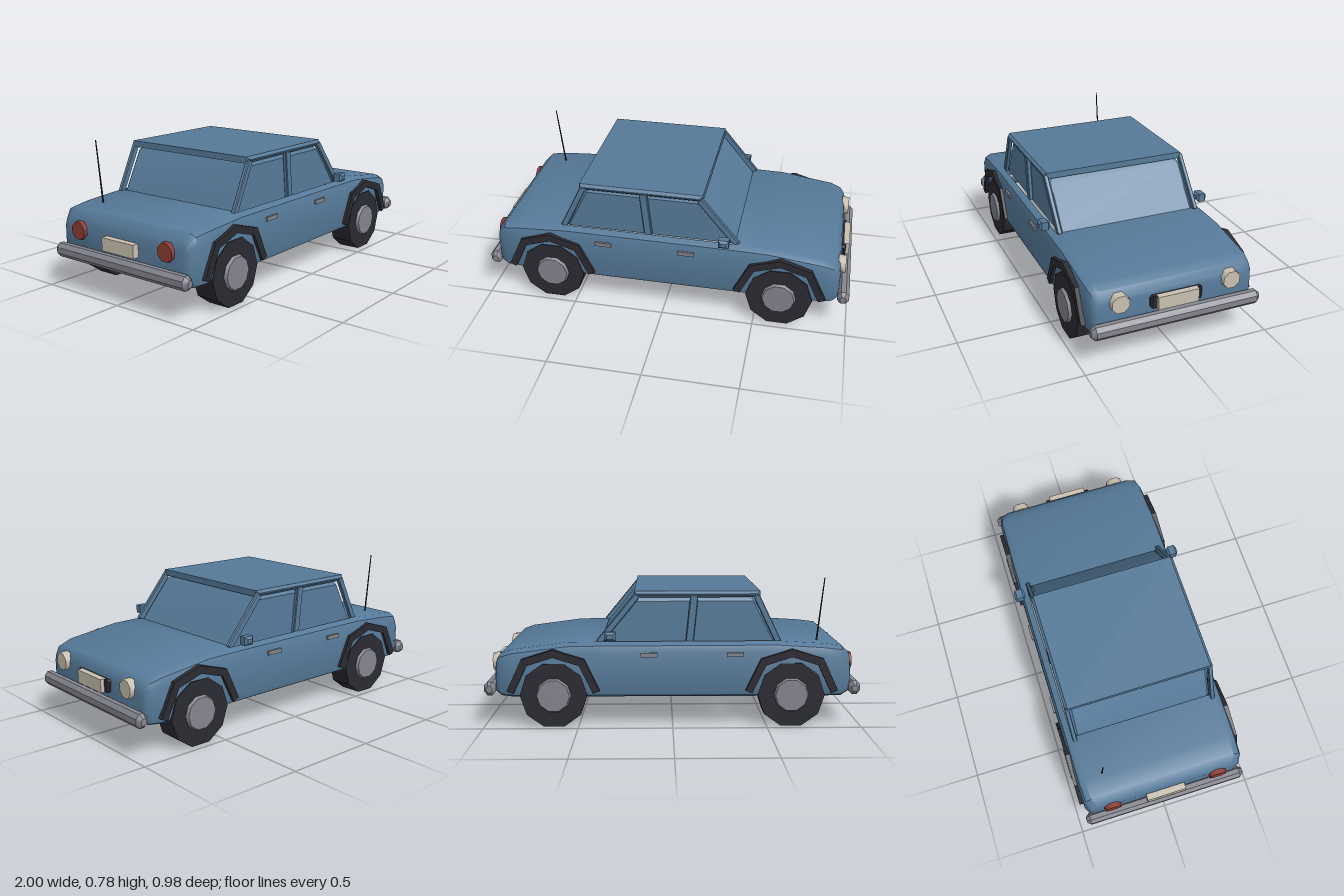
import * as THREE from 'three';
import { toCreasedNormals } from 'three/addons/utils/BufferGeometryUtils.js';

const mat = (name, color, side = THREE.FrontSide) => {
  const m = new THREE.MeshStandardMaterial({ color, side });
  m.name = name;
  return m;
};

// Skin a list of rings; skip(i, j) leaves a quad open, caps closes both ends.
function loft(rings, { closed = false, caps = false, skip = () => false, crease = 0.7 } = {}) {
  const n = rings[0].length, idx = [];
  for (let i = 0; i < rings.length - 1; i++)
    for (let j = 0; j < (closed ? n : n - 1); j++) {
      if (skip(i, j)) continue;
      const k = (j + 1) % n, a = i * n + j, b = i * n + k, c = b + n, d = a + n;
      idx.push(a, b, c, a, c, d);
    }
  if (caps) {
    const e = (rings.length - 1) * n;
    for (let k = 1; k < n - 1; k++) idx.push(0, k + 1, k, e, e + k, e + k + 1);
  }
  const g = new THREE.BufferGeometry();
  g.setAttribute('position', new THREE.Float32BufferAttribute(rings.flat(2), 3));
  g.setIndex(idx);
  return toCreasedNormals(g, crease);
}

// Box with chamfered edges, centred on the origin.
function chamferBox(w, h, d, b) {
  const x = w / 2 - b, y = h / 2 - b;
  const s = new THREE.Shape([[-x, -y], [x, -y], [x, y], [-x, y]].map(p => new THREE.Vector2(...p)));
  const g = new THREE.ExtrudeGeometry(s, {
    depth: d - 2 * b, bevelEnabled: true, bevelSize: b, bevelThickness: b, bevelSegments: 1
  });
  return g.translate(0, 0, -(d - 2 * b) / 2);
}

export function createModel() {
  const car = new THREE.Group();
  car.name = 'car';
  const paint = mat('blue paint', 0x567a99, THREE.DoubleSide);
  const rubber = mat('black rubber', 0x2a2a32);
  const metal = mat('grey metal', 0x84858e);
  const cream = mat('cream lamp', 0xc9c0b0);
  const red = mat('red lamp', 0x8c3c35);

  const add = (name, geo, m, x = 0, y = 0, z = 0) => {
    const mesh = new THREE.Mesh(geo, m);
    mesh.name = name;
    mesh.position.set(x, y, z);
    car.add(mesh);
    return mesh;
  };

  // Body shell, open below and under the cabin: x, half width, bottom, top
  const stations = [
    [0.942, 0.405, 0.2, 0.33], [0.935, 0.425, 0.175, 0.355], [0.91, 0.44, 0.16, 0.388],
    [0.85, 0.45, 0.155, 0.408], [0.56, 0.455, 0.155, 0.446], [0.38, 0.455, 0.155, 0.449],
    [-0.55, 0.455, 0.155, 0.452], [-0.8, 0.455, 0.155, 0.437], [-0.9, 0.45, 0.157, 0.425],
    [-0.94, 0.43, 0.175, 0.385], [-0.95, 0.41, 0.2, 0.345]
  ];
  const section = ([x, w, b, t]) => {
    const half = [[w - 0.03, b], [w - 0.007, b + 0.012], [w, b + 0.035], [w, t - 0.055],
      [w - 0.012, t - 0.018], [w - 0.045, t]];
    return [...half.map(([z, y]) => [x, y, z]), ...half.reverse().map(([z, y]) => [x, y, -z])];
  };
  add('body', loft(stations.map(section), { caps: true, skip: (i, j) => i === 5 && j === 5 }), paint);

  // Cabin window shell: y, rear x, front x, half width, corner cut
  const windowRing = ([y, r, f, w, c]) => [
    [r + c, w], [f - c, w], [f, w - c], [f, c - w], [f - c, -w], [r + c, -w], [r, c - w], [r, w - c]
  ].map(([x, z]) => [x, y, z]);
  add('windows', loft([
    [0.44, -0.55, 0.385, 0.388, 0.012], [0.66, -0.44, 0.208, 0.385, 0.012], [0.69, -0.415, 0.175, 0.362, 0.012]
  ].map(windowRing), { closed: true, crease: 0.5 }), paint);

  // Roof panel
  add('roof', chamferBox(0.665, 0.034, 0.818, 0.014), paint, -0.13, 0.699, 0);

  // Window pillars, slanted in the side plane
  const pillars = [
    ['frontPillar', 0.185, 0.695, 0.39, 0.445, 0.034],
    ['middlePillar', -0.115, 0.695, -0.09, 0.445, 0.042],
    ['rearPillar', -0.44, 0.695, -0.562, 0.445, 0.034]
  ];
  const wheelShape = new THREE.Shape(); // arch trim outline
  [[-0.245, 0.195], [-0.165, 0.365], [0, 0.416], [0.165, 0.365], [0.245, 0.195],
    [0.21, 0.18], [0.138, 0.33], [0, 0.374], [-0.138, 0.33], [-0.21, 0.18]]
    .forEach(([x, y], i) => (i ? wheelShape.lineTo(x, y) : wheelShape.moveTo(x, y)));
  const archGeo = new THREE.ExtrudeGeometry(wheelShape, { depth: 0.032, bevelEnabled: false })
    .translate(0, 0, -0.016);
  const tyreGeo = toCreasedNormals(
    new THREE.CylinderGeometry(0.178, 0.178, 0.125, 10).rotateY(Math.PI / 10).rotateX(Math.PI / 2), 0.4);
  const hubGeo = new THREE.CylinderGeometry(0.086, 0.1, 0.03, 10).rotateY(Math.PI / 10).rotateX(Math.PI / 2);

  for (const s of [1, -1]) {
    for (const [name, x0, y0, x1, y1, t] of pillars) {
      const len = Math.hypot(x1 - x0, y1 - y0);
      const p = add(name, chamferBox(t, len, 0.024, 0.004), paint, (x0 + x1) / 2, (y0 + y1) / 2, s * 0.398);
      p.rotation.z = Math.atan2(x0 - x1, y0 - y1) * -1;
    }
    // Wheels and arch trims
    for (const x of [-0.63, 0.63]) {
      add('tyre', tyreGeo, rubber, x, 0.169, s * 0.3975);
      const hub = add('hub', hubGeo, metal, x, 0.169, s * 0.461);
      if (s < 0) hub.rotation.y = Math.PI;
      add('archTrim', archGeo, rubber, x, 0, s * 0.456);
    }
    // Door handles and mirrors
    for (const x of [-0.33, 0.125])
      add('doorHandle', new THREE.BoxGeometry(0.09, 0.022, 0.028), metal, x, 0.386, s * 0.452);
    add('mirror', chamferBox(0.056, 0.046, 0.06, 0.012), paint, 0.327, 0.487, s * 0.462);
    // Round lamps
    const lamp = r => new THREE.CylinderGeometry(r * 0.92, r, 0.04, 8).rotateY(Math.PI / 8);
    add('headlight', lamp(0.053).rotateZ(-Math.PI / 2), cream, 0.946, 0.325, s * 0.302);
    add('tailLight', lamp(0.053).rotateZ(Math.PI / 2), red, -0.95, 0.325, s * 0.302);
  }

  // Bumpers: eight-sided bars with tapered ends
  const bar = [[0, -0.46], [0.02, -0.46], [0.04, -0.438], [0.04, 0.438], [0.02, 0.46], [0, 0.46]]
    .map(p => new THREE.Vector2(...p));
  const bumperGeo = toCreasedNormals(
    new THREE.LatheGeometry(bar, 8).rotateY(Math.PI / 8).rotateX(Math.PI / 2).scale(0.85, 1, 1), 0.6);
  add('frontBumper', bumperGeo, metal, 0.968, 0.203, 0);
  add('rearBumper', bumperGeo, metal, -0.968, 0.203, 0);

  // Grille and blank plates
  add('grille', chamferBox(0.04, 0.068, 0.282, 0.01), rubber, 0.942, 0.294, 0);
  add('frontPlate', new THREE.BoxGeometry(0.03, 0.07, 0.22), cream, 0.967, 0.294, 0);
  add('rearPlate', new THREE.BoxGeometry(0.04, 0.07, 0.22), cream, -0.965, 0.294, 0);

  // Antenna
  const antenna = add('antenna', new THREE.CylinderGeometry(0.003, 0.005, 0.35, 6), rubber, -0.8, 0.602, -0.31);
  antenna.rotation.z = 0.105;
  return car;
}
